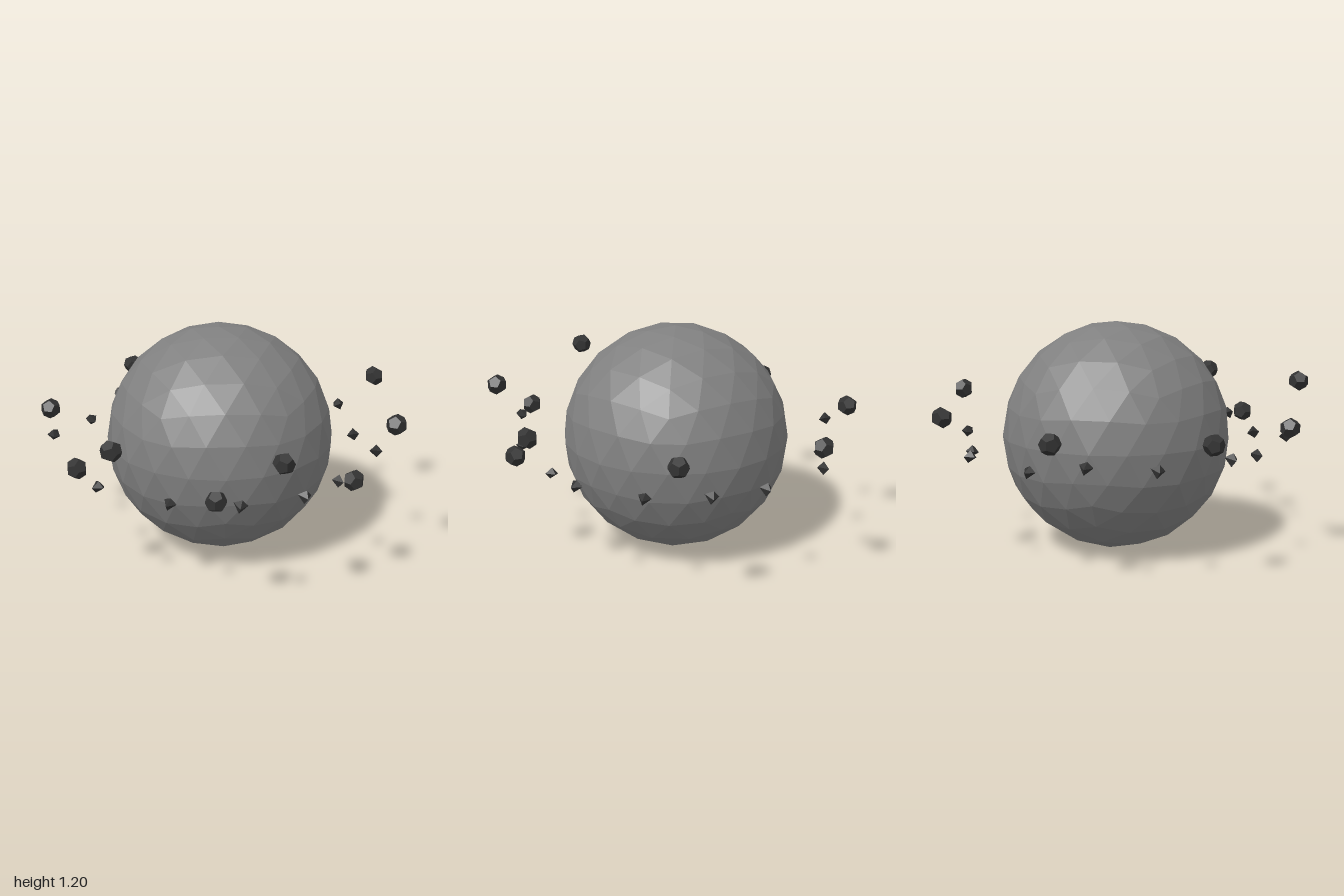
import * as THREE from 'three';

// Ring pieces as [x, y, z]
const BOULDERS = [
  [-0.24, 0.72, -0.96], [0.52, 0.755, -0.8], [-0.855, 0.7, -0.495], [0.91, 0.785, -0.11],
  [-0.915, 0.67, 0.265], [-0.825, 0.873, 0.575], [0.646, 0.815, 0.645], [-0.387, 0.638, 0.805],
  [0.356, 0.607, 0.765], [-0.1, 0.843, 0.94],
];
const SHARDS = [
  [-0.36, 0.6, -0.846], [-0.01, 0.535, -0.804], [0.34, 0.577, -0.804], [0.54, 0.535, -0.519],
  [0.767, 0.58, -0.259], [0.693, 0.532, 0.074], [0.656, 0.576, 0.41], [0.358, 0.523, 0.575],
  [0.085, 0.568, 0.772], [-0.28, 0.613, 0.841], [-0.55, 0.563, 0.595], [-0.838, 0.607, 0.37],
  [-0.838, 0.563, 0.01], [-0.873, 0.607, -0.349], [-0.603, 0.563, -0.587],
];

// Small chipped stone: an octahedron with its corners pushed in unevenly
function shardGeometry() {
  const g = new THREE.OctahedronGeometry(0.04);
  const p = g.attributes.position;
  const v = new THREE.Vector3();
  for (let i = 0; i < p.count; i++) {
    v.fromBufferAttribute(p, i);
    if (v.y > 0.03) v.set(0.012, 0.032, 0.006);
    else if (v.y < -0.03) v.set(-0.006, -0.034, 0.012);
    else if (v.x < -0.03) v.set(-0.03, 0.014, -0.012);
    else if (v.z < -0.03) v.set(0.01, -0.008, -0.028);
    p.setXYZ(i, v.x, v.y, v.z);
  }
  g.computeVertexNormals();
  return g;
}

export function createModel() {
  const model = new THREE.Group();
  model.name = 'planetWithRocks';

  // Planet: faceted sphere with a corner at each pole
  const planetGeo = new THREE.IcosahedronGeometry(0.602, 3);
  planetGeo.rotateZ(-Math.atan(2 / (1 + Math.sqrt(5))));
  const planet = new THREE.Mesh(planetGeo,
    new THREE.MeshStandardMaterial({ color: 0x808080, flatShading: true }));
  planet.name = 'planet';
  planet.position.set(-0.045, 0.604, -0.035);
  model.add(planet);

  // Orbiting rocks
  const rockMat = new THREE.MeshStandardMaterial({ color: 0x333333, flatShading: true });
  const addRing = (name, geometry, places, turn) => {
    const ring = new THREE.Group();
    ring.name = name + 'Ring';
    places.forEach(([x, y, z], i) => {
      const rock = new THREE.Mesh(geometry, rockMat);
      rock.name = name + (i + 1);
      rock.position.set(x, y, z);
      rock.rotation.y = turn(x, z);
      ring.add(rock);
    });
    model.add(ring);
  };
  addRing('boulder', new THREE.DodecahedronGeometry(0.055), BOULDERS, (x, z) => Math.atan2(x, z));
  addRing('shard', shardGeometry(), SHARDS, (x, z) => Math.atan2(x, z));
  return model;
}
